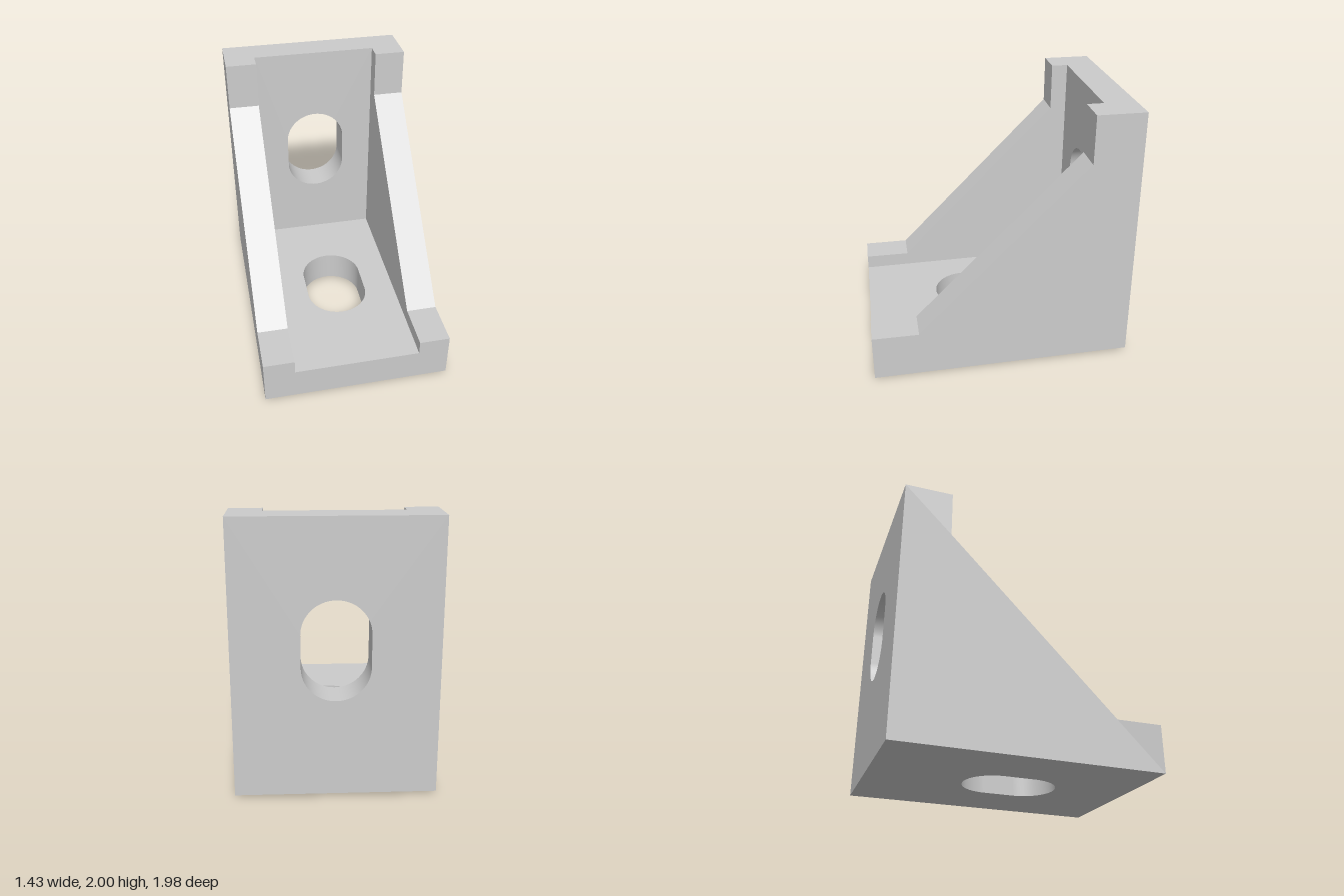
import * as THREE from 'three';

const W = 0.715, IN = 0.48;            // outer and inner half widths
const WALL_Z = -0.74;                  // inner face of the upright plate
const backZ = y => -0.99 + 0.0075 * y; // slightly drafted outer faces
const baseY = z => 0.0126 * (0.99 - z);
const floorY = z => 0.25 + 0.0087 * (0.99 - z);

// Free edge of each rib as [z, y], from the front lip up to the top
const RIB_EDGE = [[0.99, 0.36], [0.64, 0.36], [-0.615, 1.64], [-0.615, 2]];

const material = new THREE.MeshStandardMaterial({ color: 0xcccccc });

// Outline of a rounded slot, counter-clockwise
function slot(cy, r = 0.24, straight = 0.117, n = 32) {
  const pts = [];
  for (const side of [1, -1]) {
    for (let i = 0; i <= n; i++) {
      const a = Math.PI * i / n;
      pts.push(new THREE.Vector2(side * r * Math.cos(a), cy + side * (straight + r * Math.sin(a))));
    }
  }
  return pts;
}

// Flat face: a 2D outline, optionally pierced, placed in space by a rule
function panel(outline, place, hole) {
  const shape = new THREE.Shape(outline.map(p => new THREE.Vector2(...p)));
  if (hole) shape.holes.push(new THREE.Path(hole));
  const geo = new THREE.ShapeGeometry(shape);
  const pos = geo.attributes.position;
  for (let i = 0; i < pos.count; i++) pos.setXYZ(i, ...place(pos.getX(i), pos.getY(i)));
  geo.computeVertexNormals();
  return geo;
}

// Smooth inner wall of a slot between two placed outlines
function tunnel(outline, near, far) {
  const n = outline.length, verts = [], index = [];
  outline.forEach((p, i) => {
    verts.push(...near(p.x, p.y), ...far(p.x, p.y));
    const a = 2 * i, b = 2 * ((i + 1) % n);
    index.push(a, b, a + 1, b, b + 1, a + 1);
  });
  const geo = new THREE.BufferGeometry();
  geo.setAttribute('position', new THREE.Float32BufferAttribute(verts, 3));
  geo.setIndex(index);
  geo.computeVertexNormals();
  return geo;
}

const rect = (x, v0, v1) => [[-x, v0], [x, v0], [x, v1], [-x, v1]];

export function createModel() {
  const group = new THREE.Group();
  group.name = 'cornerBracket';
  const add = (name, geo) => {
    const mesh = new THREE.Mesh(geo, material);
    mesh.name = name;
    group.add(mesh);
  };

  // Upright plate with its slot
  const wallSlot = slot(1.09);
  const onWall = (u, v) => [u, v, WALL_Z];
  add('wallInnerFace', panel(rect(IN, floorY(WALL_Z), 2), onWall, wallSlot));
  add('wallBackFace', panel(rect(W, baseY(-0.99), 2), (u, v) => [-u, v, backZ(v)], wallSlot));
  add('wallSlot', tunnel(wallSlot, onWall, (u, v) => [u, v, backZ(v)]));

  // Base plate with its slot (v runs towards the back)
  const baseSlot = slot(-0.08);
  const onFloor = (u, v) => [u, floorY(-v), -v];
  add('baseInnerFace', panel(rect(IN, -0.99, -WALL_Z), onFloor, baseSlot));
  add('baseUnderside', panel(rect(W, -0.99, 0.99), (u, v) => [u, baseY(v), v],
    slot(0.08)));
  add('baseSlot', tunnel(baseSlot, onFloor, (u, v) => [u, baseY(-v), -v]));

  // U-shaped ends of the two plates
  const channel = (bottom, notch, top) => [[-W, bottom], [W, bottom], [W, top], [IN, top],
    [IN, notch], [-IN, notch], [-IN, top], [-W, top]];
  add('frontEnd', panel(channel(0, 0.25, 0.36), (u, v) => [u, v, 0.99]));
  add('topEnd', panel(channel(backZ(2), WALL_Z, -0.615), (u, v) => [-u, 2, v].map((c, i) => i ? c : -c)
    .map((c, i) => i === 0 ? -c : c)));
  // The top end is wound for a downward normal, so turn its triangles over
  const top = group.getObjectByName('topEnd').geometry;
  const first = new THREE.Vector3().fromBufferAttribute(top.attributes.normal, 0);
  if (first.y < 0) {
    top.index.array.reverse();
    top.computeVertexNormals();
  }

  // Side ribs: outer face, inner face and the stepped sloping edge
  const outer = [[0.99, 0], ...RIB_EDGE, [backZ(2), 2], [-0.99, baseY(-0.99)]];
  const inner = [[0.99, 0.25], ...RIB_EDGE, [WALL_Z, 2], [WALL_Z, floorY(WALL_Z)]];
  const facing = (outline, x, dir) => panel(outline.map(([z, y]) => [-dir * z, y]),
    (u, v) => [x, v, -dir * u]);
  for (const [side, s] of [['left', 1], ['right', -1]]) {
    add(side + 'RibOuterFace', facing(outer, s * W, s));
    add(side + 'RibInnerFace', facing(inner, s * IN, -s));
    for (let i = 0; i < 3; i++) {
      const [z0, y0] = RIB_EDGE[i], [z1, y1] = RIB_EDGE[i + 1];
      add(side + 'RibEdge' + (i + 1), panel(
        [[s * IN, 0], [s * W, 0], [s * W, 1], [s * IN, 1]],
        (u, t) => [u, y0 + (y1 - y0) * t, z0 + (z1 - z0) * t]));
    }
  }
  return group;
}
